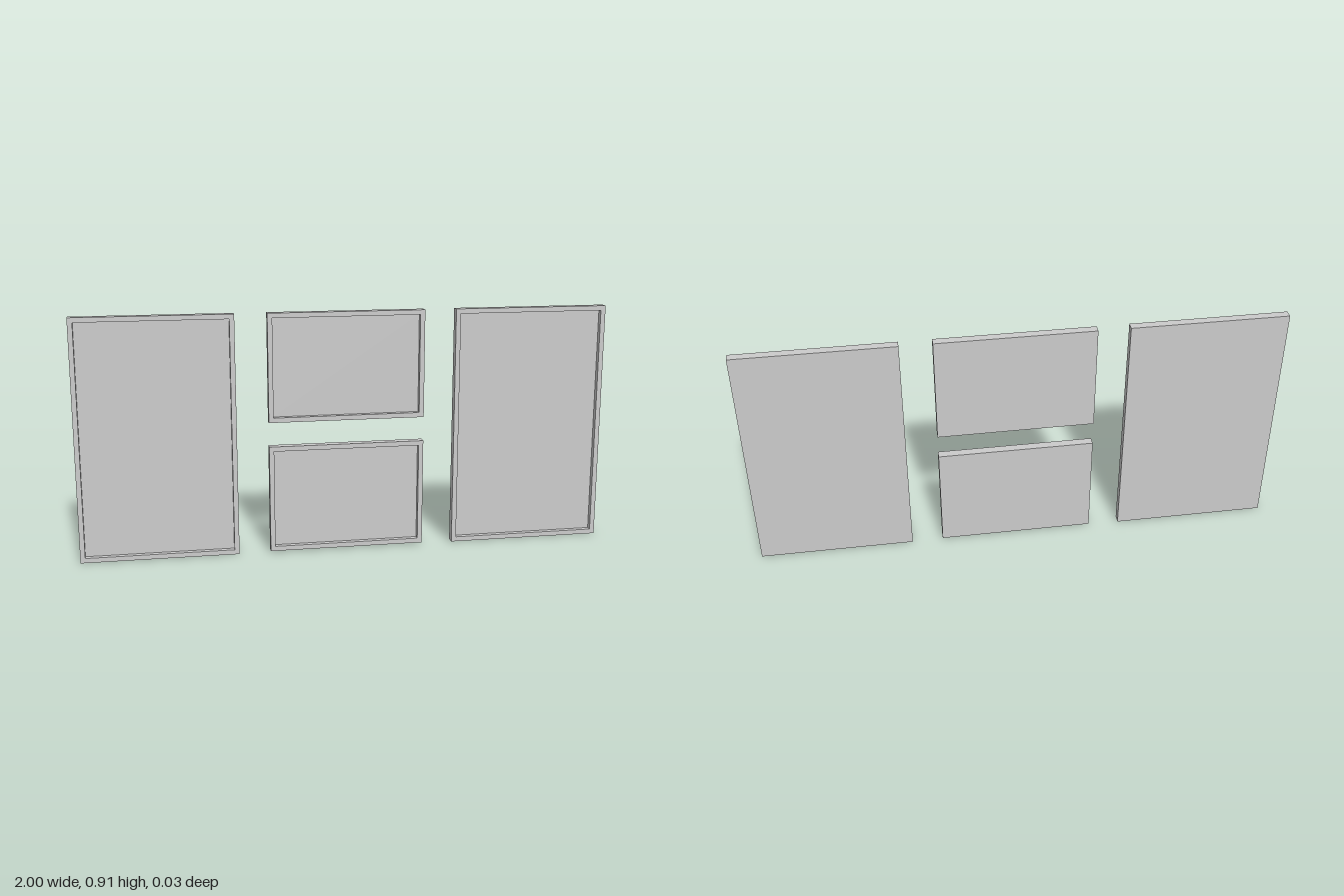
import * as THREE from 'three';

const DEPTH = 0.032;   // full thickness of a frame
const BORDER = 0.018;  // width of the moulding
const RECESS = 0.02;   // how far the picture sits behind the front

function rectangle(Type, w, h) {
  const x = w / 2, y = h / 2;
  return new Type([
    new THREE.Vector2(-x, -y), new THREE.Vector2(x, -y),
    new THREE.Vector2(x, y), new THREE.Vector2(-x, y),
  ]);
}

// One picture frame: a mitred moulding around a recessed panel
function pictureFrame(name, x0, x1, y0, y1, material) {
  const w = x1 - x0, h = y1 - y0;
  const innerW = w - 2 * BORDER, innerH = h - 2 * BORDER;
  const group = new THREE.Group();
  group.name = name;
  group.position.set((x0 + x1) / 2, (y0 + y1) / 2, 0);

  const outline = rectangle(THREE.Shape, w, h);
  outline.holes.push(rectangle(THREE.Path, innerW, innerH));
  const moulding = new THREE.Mesh(
    new THREE.ExtrudeGeometry(outline, { depth: DEPTH, bevelEnabled: false }), material);
  moulding.name = 'moulding';
  moulding.position.z = -DEPTH / 2;

  // Panel closes the back, flush with the moulding
  const thickness = DEPTH - RECESS;
  const panel = new THREE.Mesh(new THREE.BoxGeometry(innerW, innerH, thickness), material);
  panel.name = 'picturePanel';
  panel.position.z = (thickness - DEPTH) / 2;

  group.add(moulding, panel);
  return group;
}

export function createModel() {
  const model = new THREE.Group();
  model.name = 'pictureFrameSet';
  const material = new THREE.MeshStandardMaterial({ color: 0xcccccc });

  // Two tall frames flank a stacked pair of small ones
  const frames = [
    ['rightTallFrame', -1, -0.413, 0, 0.91],
    ['leftTallFrame', 0.413, 1, 0, 0.91],
    ['upperSmallFrame', -0.294, 0.294, 0.503, 0.91],
    ['lowerSmallFrame', -0.294, 0.294, 0.004, 0.411],
  ];
  for (const [name, x0, x1, y0, y1] of frames) {
    model.add(pictureFrame(name, x0, x1, y0, y1, material));
  }
  return model;
}
